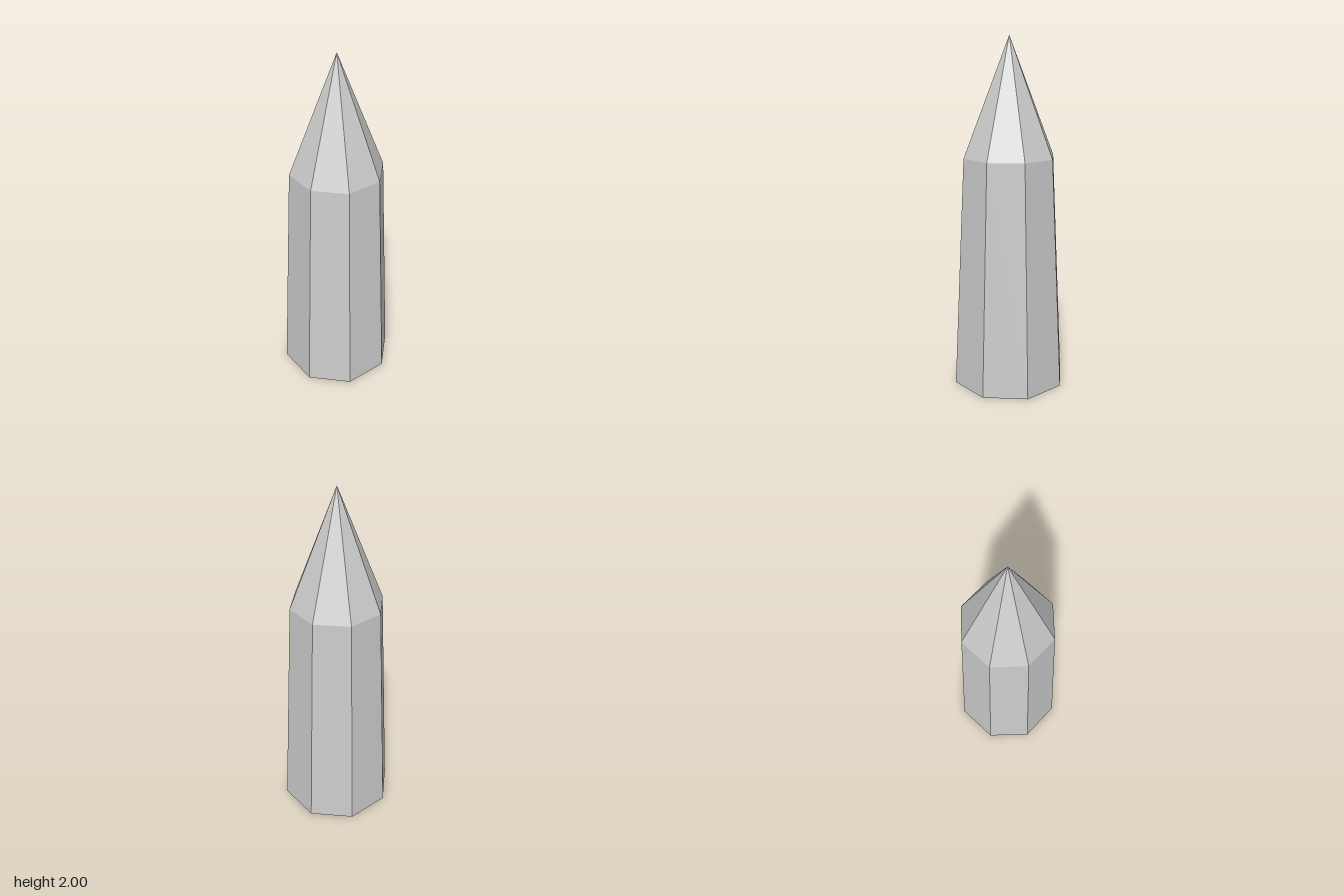
import * as THREE from 'three';

const SIDES = 8;
const BASE_RADIUS = 1 / 3;
const SHOULDER_RADIUS = 0.8 / 3;
const SHOULDER_HEIGHT = 4 / 3;
const HEIGHT = 2;

export function createModel() {
  const model = new THREE.Group();
  model.name = 'crystal';
  const material = new THREE.MeshStandardMaterial({ color: 0xcccccc, flatShading: true });

  // Each part is a faceted profile turned about the vertical axis.
  const addPart = (name, profile) => {
    const points = profile.map(([r, y]) => new THREE.Vector2(r, y));
    const mesh = new THREE.Mesh(new THREE.LatheGeometry(points, SIDES), material);
    mesh.name = name;
    model.add(mesh);
  };

  // Tapered octagonal shaft with a closed base
  addPart('shaft', [[0, 0], [BASE_RADIUS, 0], [SHOULDER_RADIUS, SHOULDER_HEIGHT]]);

  // Pointed tip
  addPart('tip', [[SHOULDER_RADIUS, SHOULDER_HEIGHT], [0, HEIGHT]]);

  return model;
}
